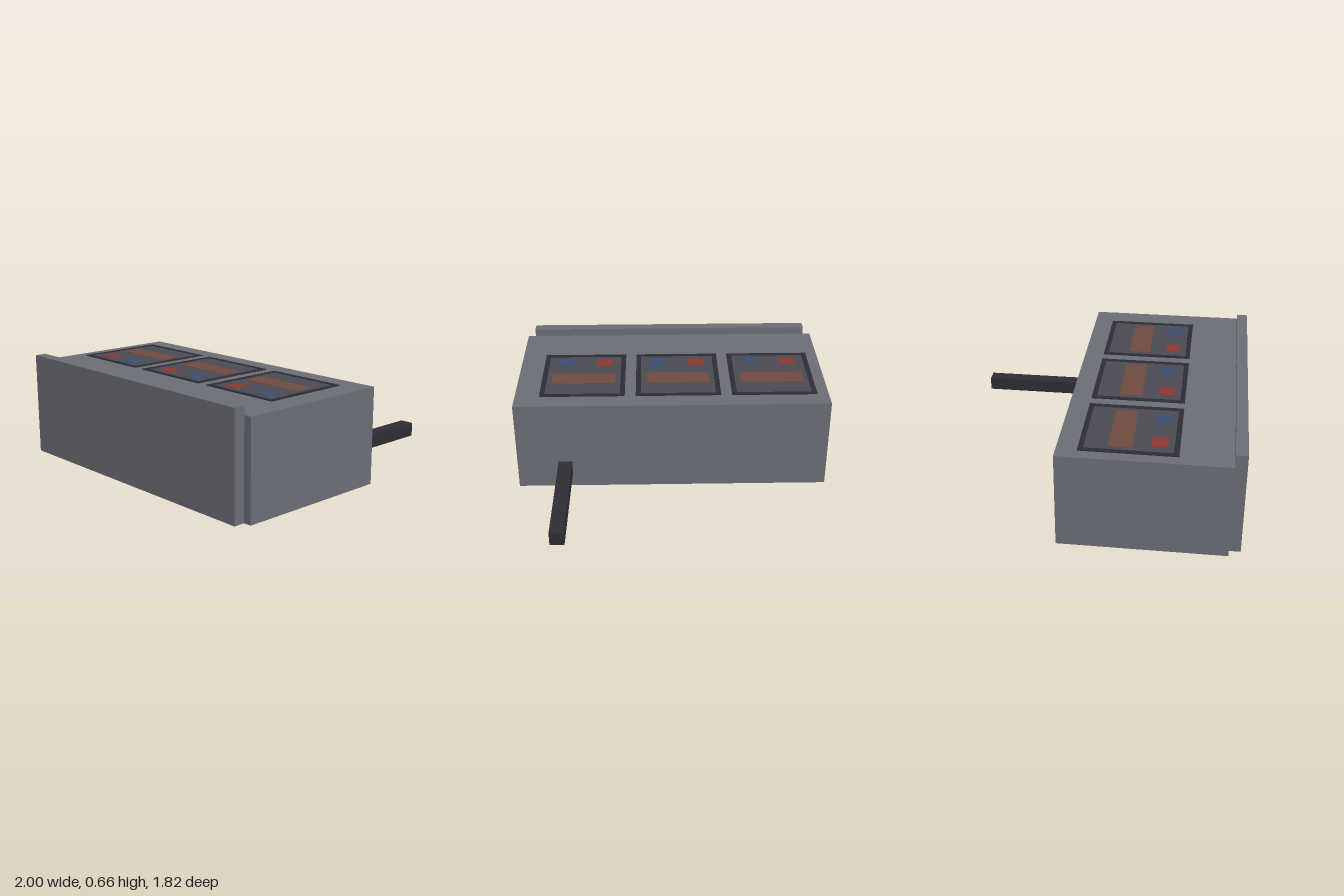
import * as THREE from 'three';

const mat = (name, color) => {
  const m = new THREE.MeshStandardMaterial({ color });
  m.name = name;
  return m;
};

export function createModel() {
  const grey = mat('casing grey', 0x6a6d75);
  const dark = mat('dark trim', 0x2d2c34);
  const panelGrey = mat('panel grey', 0x4a4b53);
  const amber = mat('display amber', 0x6e4a3f);
  const red = mat('button red', 0x8a3831);
  const blue = mat('button blue', 0x3a4d74);
  const green = mat('terminal green', 0x5fa866);

  const model = new THREE.Group();
  model.name = 'controlUnit';

  // Box given by its minimum and maximum corners
  const box = (parent, name, material, [x0, y0, z0], [x1, y1, z1]) => {
    const mesh = new THREE.Mesh(new THREE.BoxGeometry(x1 - x0, y1 - y0, z1 - z0), material);
    mesh.position.set((x0 + x1) / 2, (y0 + y1) / 2, (z0 + z1) / 2);
    mesh.name = name;
    parent.add(mesh);
  };

  // Casing, front plate and rear arm
  const bottom = 0.014, top = 0.612;
  box(model, 'casing', grey, [-1, bottom, -0.16], [1, top, 0.84]);
  box(model, 'frontPlate', grey, [-0.95, bottom, 0.84], [0.95, 0.663, 0.91]);
  box(model, 'rearArm', dark, [0.647, 0.113, -0.91], [0.735, 0.2, -0.16]);

  // Three framed control panels on the top
  for (let i = 0; i < 3; i++) {
    const panel = new THREE.Group();
    panel.name = 'controlPanel' + (i + 1);
    panel.position.set(-0.655 + i * 0.614, top, 0);
    model.add(panel);

    // Frame ring
    const ring = new THREE.Shape([[-0.272, -0.533], [0.272, -0.533], [0.272, 0.038], [-0.272, 0.038]]
      .map(([x, y]) => new THREE.Vector2(x, y)));
    ring.holes.push(new THREE.Path([[-0.24, -0.503], [-0.24, 0.008], [0.24, 0.008], [0.24, -0.503]]
      .map(([x, y]) => new THREE.Vector2(x, y))));
    const frame = new THREE.Mesh(
      new THREE.ExtrudeGeometry(ring, { depth: 0.004, bevelEnabled: false }), dark);
    frame.rotation.x = -Math.PI / 2;
    frame.name = 'panelFrame';
    panel.add(frame);

    // Face, display and buttons
    box(panel, 'panelFace', panelGrey, [-0.24, 0, -0.008], [0.24, 0.002, 0.503]);
    box(panel, 'display', amber, [-0.208, 0.002, 0.13], [0.207, 0.004, 0.265]);
    box(panel, 'redButton', red, [-0.183, 0.002, 0.37], [-0.077, 0.004, 0.465]);
    box(panel, 'blueButton', blue, [0.077, 0.002, 0.37], [0.178, 0.004, 0.465]);
  }

  // Long strips under the casing
  for (const z of [0.165, 0.35]) {
    box(model, 'bottomStrip', dark, [-0.85, bottom - 0.005, z - 0.02], [0.85, bottom, z + 0.02]);
  }

  // Terminal blocks across the second strip
  for (const x of [0.38, -0.155, -0.69]) {
    box(model, 'terminalBlock', green, [x - 0.1, 0, 0.285], [x + 0.1, bottom, 0.437]);
  }

  return model;
}
